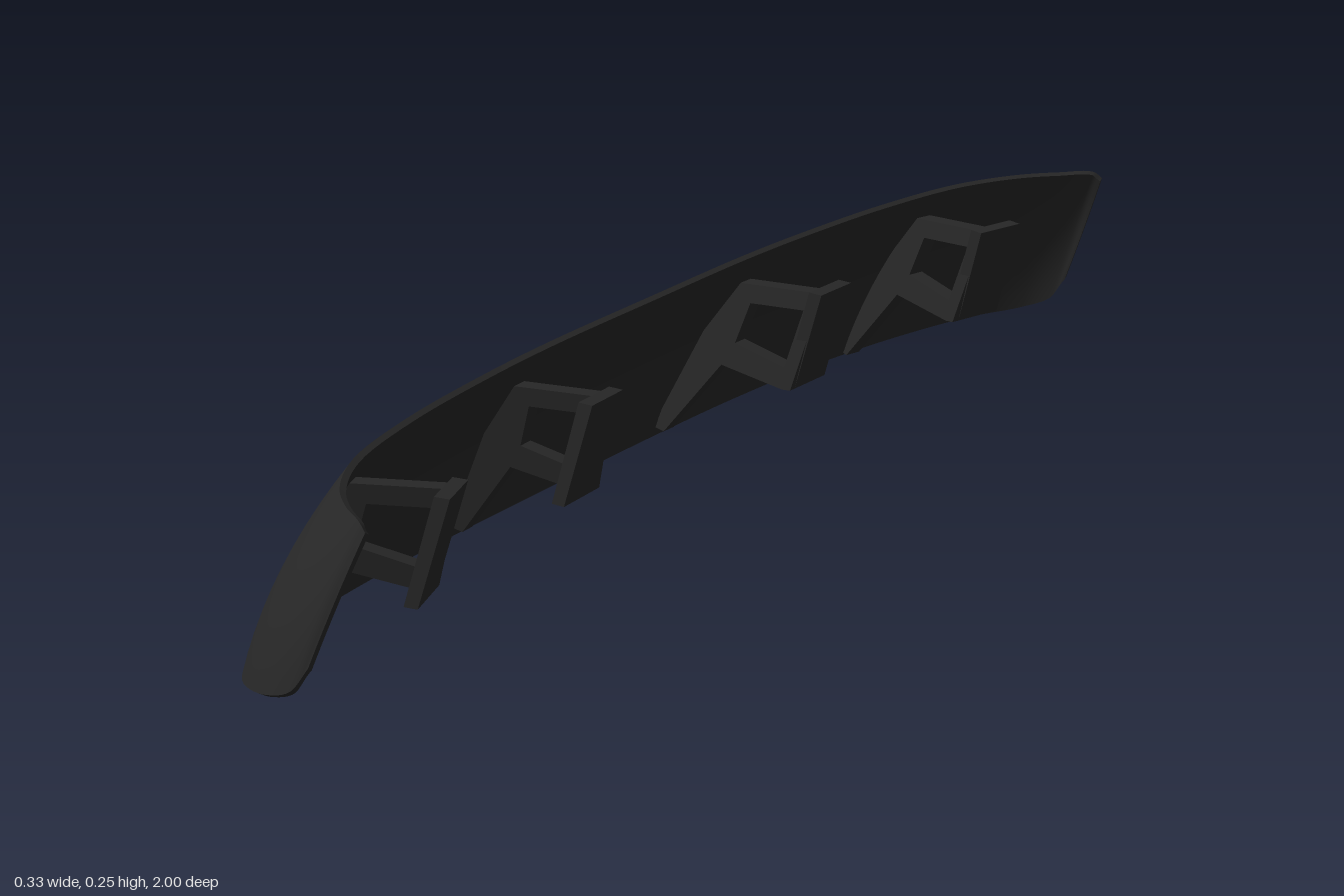
import * as THREE from 'three';
import { mergeGeometries } from 'three/addons/utils/BufferGeometryUtils.js';

const V = (x, y, z) => new THREE.Vector3(x, y, z);

// Smooth curve through half of an edge, mirrored across z = 0
function mirroredCurve(half) {
  const other = half.slice(1).reverse().map(([x, y, z]) => V(x, y, -z));
  return new THREE.CatmullRomCurve3([...other, ...half.map((p) => V(...p))]);
}

// Grid surface from f(a, b), facing along da x db
function grid(f, na, nb) {
  const pos = [], index = [];
  for (let i = 0; i <= na; i++) {
    for (let j = 0; j <= nb; j++) pos.push(...f(i / na, j / nb).toArray());
  }
  for (let i = 0; i < na; i++) {
    for (let j = 0; j < nb; j++) {
      const a = i * (nb + 1) + j, b = a + nb + 1;
      index.push(a, b, b + 1, a, b + 1, a + 1);
    }
  }
  const g = new THREE.BufferGeometry();
  g.setAttribute('position', new THREE.Float32BufferAttribute(pos, 3));
  g.setIndex(index);
  g.computeVertexNormals();
  return g;
}

// Curved blade swept between its lower and upper edges
function panelGeometry() {
  const lower = mirroredCurve([
    [-0.163, 0.004, 0], [-0.162, 0.004, 0.25], [-0.155, 0.005, 0.45], [-0.132, 0.009, 0.65],
    [-0.086, 0.017, 0.82], [-0.02, 0.03, 0.935], [0.04, 0.041, 0.982], [0.08, 0.056, 0.997], [0.103, 0.085, 0.998],
  ]);
  const upper = mirroredCurve([
    [-0.03, 0.255, 0], [-0.029, 0.255, 0.25], [-0.022, 0.254, 0.42], [-0.003, 0.253, 0.62],
    [0.03, 0.252, 0.785], [0.075, 0.25, 0.885], [0.115, 0.248, 0.936], [0.152, 0.246, 0.97], [0.163, 0.237, 0.976],
  ]);
  const outward = (u) => {
    const t = lower.getTangent(u);
    return V(-t.z, 0, t.x).normalize();
  };
  const outer = (u, v) => {
    const w = Math.abs(2 * u - 1);
    const bulge = (0.02 - 0.017 * w * w) * 4 * v * (1 - v);
    return lower.getPoint(u).lerp(upper.getPoint(u), v).addScaledVector(outward(u), bulge);
  };
  const inner = (u, v) => outer(u, v).addScaledVector(outward(u), -0.007).add(V(0, -0.0035, 0));
  const NU = 96, NV = 10;
  return mergeGeometries([
    grid(outer, NU, NV),
    grid((u, v) => inner(u, 1 - v), NU, NV),
    grid((u, t) => inner(u, 0).lerp(outer(u, 0), t), NU, 1),
    grid((u, t) => outer(u, 1).lerp(inner(u, 1), t), NU, 1),
    grid((t, v) => outer(1, v).lerp(inner(1, v), t), 1, NV),
    grid((t, v) => inner(0, v).lerp(outer(0, v), t), 1, NV),
  ]);
}

const outline = (Type, pts) => new Type(pts.map(([x, y]) => new THREE.Vector2(x, y)));

// Lean a part sideways as it rises
function lean(geometry, side) {
  const p = geometry.attributes.position;
  for (let i = 0; i < p.count; i++) p.setZ(i, p.getZ(i) + side * 0.19 * (p.getY(i) - 0.15));
  geometry.computeVertexNormals();
  return geometry;
}

function extrude(shape, z0, depth) {
  return new THREE.ExtrudeGeometry(shape, { depth, bevelEnabled: false }).translate(0, 0, z0);
}

// Support: pierced web with a long tail, and a flat mounting pad
function makeBracket(side, material) {
  const bracket = new THREE.Group();
  const web = outline(THREE.Shape, [
    [-0.155, 0.014], [-0.138, 0.009], [-0.062, 0.105], [0.03, 0.085], [0.042, 0.085],
    [0.075, 0.212], [-0.045, 0.212], [-0.093, 0.145],
  ]);
  web.holes.push(outline(THREE.Path, [[-0.045, 0.135], [-0.028, 0.188], [0.05, 0.188], [0.03, 0.113]]));
  const webMesh = new THREE.Mesh(lean(extrude(web, -0.013, 0.026), side), material);
  webMesh.name = 'bracketWeb';

  const pad = outline(THREE.Shape, [[0.026, 0.087], [0.042, 0.085], [0.08, 0.213], [0.062, 0.215]]);
  const padMesh = new THREE.Mesh(extrude(pad, side > 0 ? -0.013 : -0.067, 0.08), material);
  padMesh.name = 'mountingPad';
  bracket.add(webMesh, padMesh);
  return bracket;
}

export function createModel() {
  const black = new THREE.MeshStandardMaterial({ color: 0x272727 });
  black.name = 'black plastic';

  const model = new THREE.Group();
  model.name = 'deflector';
  const panel = new THREE.Mesh(panelGeometry(), black);
  panel.name = 'deflectorPanel';
  model.add(panel);

  // Inner and outer bracket pairs
  const places = [
    { name: 'innerBracket', x: 0, z: 0.28, yaw: 0.04 },
    { name: 'outerBracket', x: 0.04, z: 0.715, yaw: 0.28 },
  ];
  for (const { name, x, z, yaw } of places) {
    for (const side of [1, -1]) {
      const bracket = makeBracket(side, black);
      bracket.name = name + (side > 0 ? 'Front' : 'Back');
      bracket.position.set(x, 0, side * z);
      bracket.rotation.y = side * yaw;
      model.add(bracket);
    }
  }
  return model;
}
